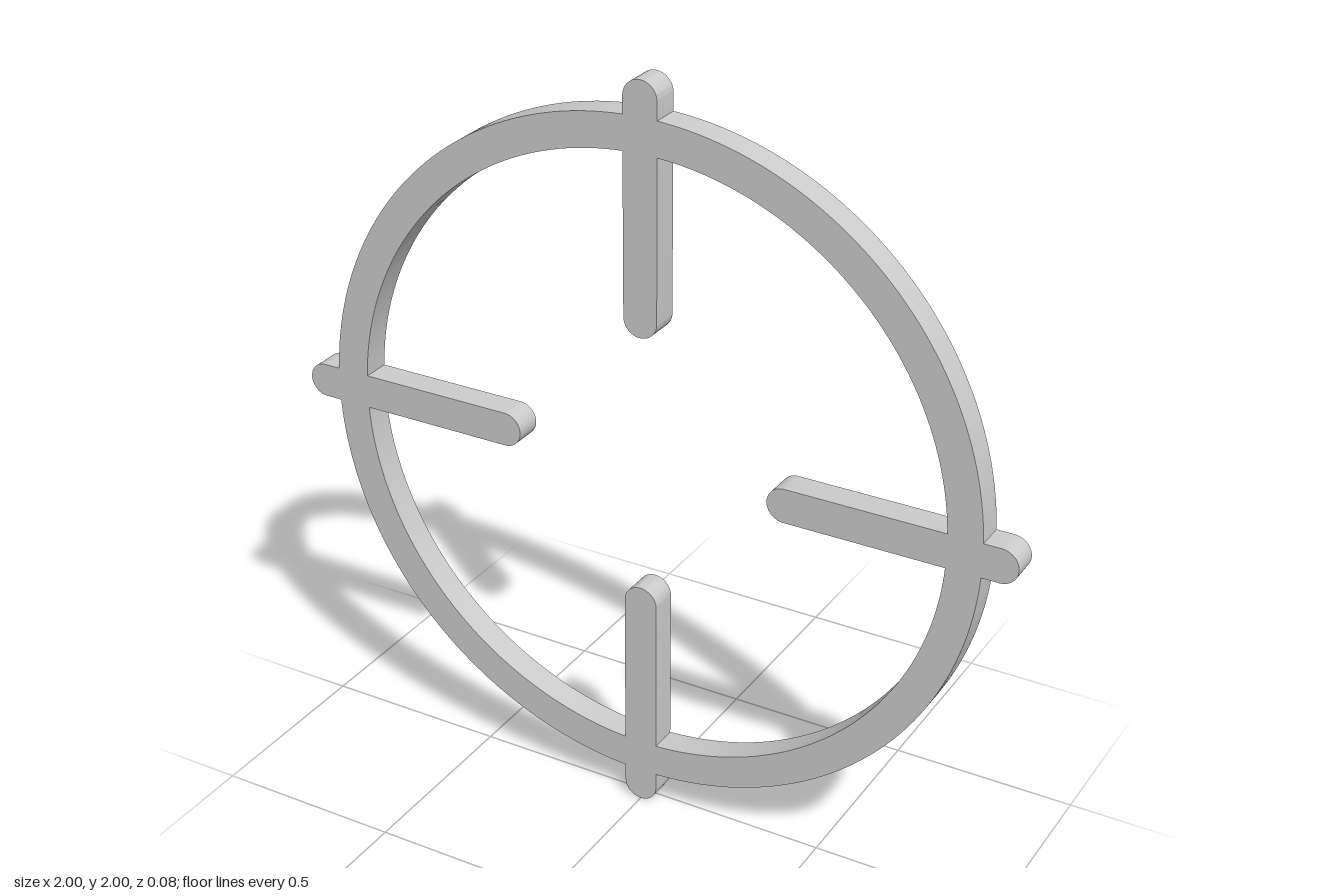
import * as THREE from 'three';
import { toCreasedNormals } from 'three/addons/utils/BufferGeometryUtils.js';

const OUTER = 0.91, INNER = 0.82;      // ring radii
const TIP = 1, END = 0.35;             // bar reach, outer and inner
const W = 0.046;                       // bar half width
const DEPTH = 0.076;
const Q = Math.PI / 2;

export function createModel() {
  const group = new THREE.Group();
  group.name = 'crosshair';

  const outline = new THREE.Shape();
  const opening = new THREE.Path();
  const a = Math.asin(W / OUTER), b = Math.asin(W / INNER);

  for (let i = 0; i < 4; i++) {
    const t = i * Q, c = Math.cos(t), s = Math.sin(t);
    // rounded bar tip outside the ring, then a quarter of the outer rim
    outline.absarc((TIP - W) * c, (TIP - W) * s, W, t - Q, t + Q, false);
    outline.absarc(0, 0, OUTER, t + a, t + Q - a, false);
    // rounded bar end inside the ring, then a quarter of the inner rim
    opening.absarc((END + W) * c, (END + W) * s, W, t - Q, t - 3 * Q, true);
    opening.absarc(0, 0, INNER, t + b, t + Q - b, false);
  }
  outline.closePath();
  opening.closePath();
  outline.holes.push(opening);

  // ring and four bars joined in one flat plate
  const geometry = new THREE.ExtrudeGeometry(outline, {
    depth: DEPTH, bevelEnabled: false, curveSegments: 24,
  });
  geometry.translate(0, 1, -DEPTH / 2);

  const mesh = new THREE.Mesh(
    toCreasedNormals(geometry, 0.5),
    new THREE.MeshStandardMaterial({ color: 0xcccccc }),
  );
  mesh.name = 'ringWithBars';
  group.add(mesh);
  return group;
}
